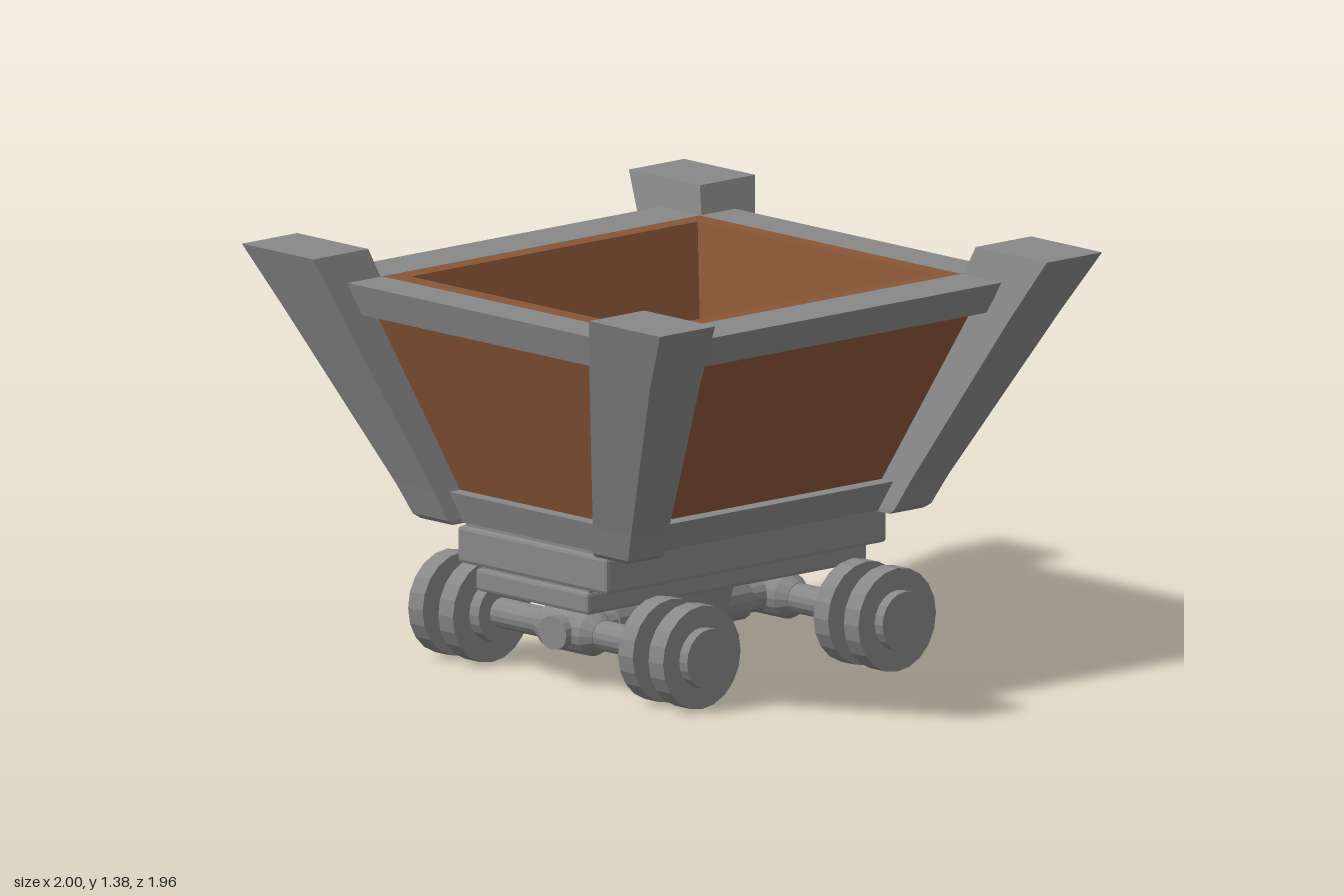
import * as THREE from 'three';
import { RoundedBoxGeometry } from 'three/addons/geometries/RoundedBoxGeometry.js';

const steel = new THREE.MeshStandardMaterial({ color: 0x888888 });
steel.name = 'grey steel';
steel.flatShading = true;
const rust = new THREE.MeshStandardMaterial({ color: 0x895536 });
rust.name = 'rust brown';

// Tapered block between two rectangles [x0, x1, z0, z1] at heights y0 and y1
function taper(y0, low, y1, high) {
  const geo = new THREE.BoxGeometry(1, 1, 1);
  const p = geo.attributes.position;
  for (let i = 0; i < p.count; i++) {
    const top = p.getY(i) > 0;
    const r = top ? high : low;
    const xs = [Math.min(r[0], r[1]), Math.max(r[0], r[1])];
    const zs = [Math.min(r[2], r[3]), Math.max(r[2], r[3])];
    p.setXYZ(i, xs[p.getX(i) > 0 ? 1 : 0], top ? y1 : y0, zs[p.getZ(i) > 0 ? 1 : 0]);
  }
  geo.computeVertexNormals();
  return geo;
}

// Multiply a rectangle's x and z by mirror signs
const flip = (r, sx, sz) => [r[0] * sx, r[1] * sx, r[2] * sz, r[3] * sz];

function add(parent, name, geo, mat, x = 0, y = 0, z = 0) {
  const mesh = new THREE.Mesh(geo, mat);
  mesh.name = name;
  mesh.position.set(x, y, z);
  parent.add(mesh);
  return mesh;
}

function group(parent, name) {
  const g = new THREE.Group();
  g.name = name;
  parent.add(g);
  return g;
}

export function createModel() {
  const model = new THREE.Group();
  model.name = 'mineCart';

  // Flared tub: sloped inner walls, thicker outer panels and a raised floor
  const tub = group(model, 'tub');
  for (const s of [1, -1]) {
    add(tub, 'endWall', taper(0.51, flip([-0.344, 0.344, 0.425, 0.508], 1, s),
      1.286, flip([-0.625, 0.625, 0.635, 0.705], 1, s)), rust);
    add(tub, 'sideWall', taper(0.51, flip([0.31, 0.344, -0.425, 0.425], s, 1),
      1.286, flip([0.563, 0.625, -0.635, 0.635], s, 1)), rust);
    add(tub, 'endPanel', taper(0.51, flip([-0.375, 0.375, 0.46, 0.563], 1, s),
      1.25, flip([-0.64, 0.64, 0.66, 0.788], 1, s)), rust);
    add(tub, 'sidePanel', taper(0.51, flip([0.325, 0.389, -0.535, 0.535], s, 1),
      1.25, flip([0.585, 0.727, -0.72, 0.72], s, 1)), rust);
  }
  add(tub, 'tubFloor', taper(0.51, [-0.325, 0.325, -0.45, 0.45],
    0.66, [-0.37, 0.37, -0.475, 0.475]), rust);

  // Rim rails and lower skirt around the tub
  const frame = group(model, 'frame');
  for (const s of [1, -1]) {
    add(frame, 'endRail', taper(1.182, flip([-0.6, 0.6, 0.68, 0.83], 1, s),
      1.287, flip([-0.625, 0.625, 0.705, 0.858], 1, s)), steel);
    add(frame, 'sideRail', taper(1.182, flip([0.589, 0.765, -0.69, 0.69], s, 1),
      1.287, flip([0.625, 0.815, -0.705, 0.705], s, 1)), steel);
    add(frame, 'endSkirt', taper(0.5, flip([-0.36, 0.36, 0.45, 0.61], 1, s),
      0.6, flip([-0.39, 0.39, 0.52, 0.64], 1, s)), steel);
    add(frame, 'sideSkirt', taper(0.5, flip([0.3, 0.44, -0.52, 0.52], s, 1),
      0.6, flip([0.36, 0.485, -0.54, 0.54], s, 1)), steel);
  }

  // Splayed corner posts: [height, x0, x1, z0, z1] from chamfered foot to top
  const postRings = [
    [0.497, 0.342, 0.495, 0.506, 0.655],
    [0.512, 0.345, 0.515, 0.508, 0.672],
    [0.61, 0.38, 0.563, 0.534, 0.703],
    [1.17, 0.585, 0.874, 0.681, 0.908],
    [1.377, 0.66, 1, 0.735, 0.98],
  ];
  for (const sx of [1, -1]) for (const sz of [1, -1]) {
    const post = group(model, 'cornerPost');
    for (let i = 1; i < postRings.length; i++) {
      const [y0, ...low] = postRings[i - 1];
      const [y1, ...high] = postRings[i];
      add(post, 'postSection', taper(y0, flip(low, sx, sz), y1, flip(high, sx, sz)), steel);
    }
  }

  // Stepped chassis with a tapered block below
  const chassis = group(model, 'chassis');
  add(chassis, 'bedPlate', new THREE.BoxGeometry(0.68, 0.026, 1.2), steel, 0, 0.493, 0);
  add(chassis, 'upperPlate', new RoundedBoxGeometry(0.718, 0.122, 1.24, 1, 0.012), steel, 0, 0.427, 0);
  add(chassis, 'plateSpacer', new THREE.BoxGeometry(0.52, 0.03, 1.215), steel, 0, 0.362, 0);
  add(chassis, 'lowerPlate', new RoundedBoxGeometry(0.54, 0.075, 1.24, 1, 0.012), steel, -0.004, 0.322, 0);
  add(chassis, 'centreBlock', taper(0.092, [-0.112, 0.112, -0.108, 0.108],
    0.29, [-0.152, 0.152, -0.147, 0.147]), steel);
  add(chassis, 'blockFoot', taper(0.08, [-0.1, 0.1, -0.097, 0.097],
    0.092, [-0.112, 0.112, -0.108, 0.108]), steel);

  // Long shaft joining the two axles
  const axleY = 0.173;
  const shaft = add(chassis, 'centreShaft', new THREE.CylinderGeometry(0.06, 0.06, 1.06, 16), steel, 0, axleY, 0);
  shaft.rotation.x = Math.PI / 2;
  shaft.scale.set(1.12, 1, 0.92);

  // Wheel profile along the axle: hub with two flanges
  const wheelProfile = [[0, 0.35], [0.1, 0.35], [0.1, 0.395], [0.172, 0.395], [0.172, 0.465],
    [0.1, 0.465], [0.1, 0.54], [0.172, 0.54], [0.172, 0.61], [0.1, 0.61], [0.1, 0.648], [0, 0.648]]
    .map(([r, h]) => new THREE.Vector2(r, h));
  const sleeveProfile = [[0, -0.14], [0.052, -0.14], [0.075, -0.1], [0.075, 0.1], [0.052, 0.14], [0, 0.14]]
    .map(([r, h]) => new THREE.Vector2(r, h));

  for (const s of [1, -1]) {
    const collar = add(chassis, 'shaftCollar', new THREE.CylinderGeometry(0.073, 0.073, 0.16, 16), steel, 0, axleY, s * 0.215);
    collar.rotation.x = Math.PI / 2;

    const set = group(model, s > 0 ? 'frontWheelSet' : 'rearWheelSet');
    set.position.set(0, axleY, s * 0.433);
    add(set, 'axle', new THREE.CylinderGeometry(0.05, 0.05, 0.8, 16), steel).rotation.z = Math.PI / 2;
    add(set, 'axleSleeve', new THREE.LatheGeometry(sleeveProfile, 16), steel).rotation.z = Math.PI / 2;
    for (const side of [1, -1]) {
      add(set, 'wheel', new THREE.LatheGeometry(wheelProfile, 20), steel).rotation.z = -side * Math.PI / 2;
    }
  }
  return model;
}
